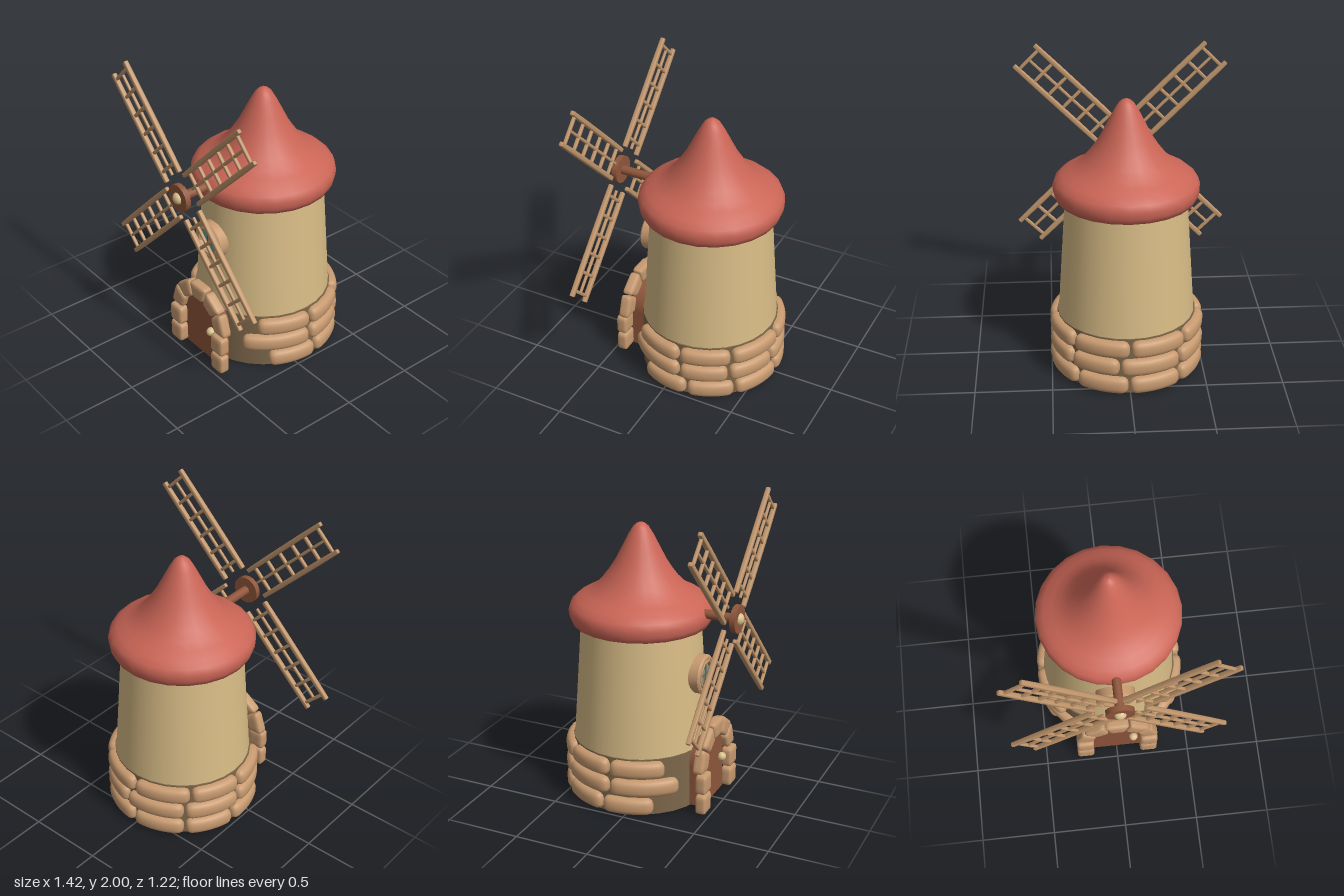
import * as THREE from 'three';
import { mergeVertices, toCreasedNormals } from 'three/addons/utils/BufferGeometryUtils.js';

const paint = (name, color) => {
  const m = new THREE.MeshStandardMaterial({ color });
  m.name = name;
  return m;
};

// Box with rounded edges, optionally reshaped by warp(vector)
function roundedBlock(w, h, d, r, segs = [6, 6, 6], warp = null) {
  let g = new THREE.BoxGeometry(w, h, d, ...segs);
  g.deleteAttribute('normal');
  g.deleteAttribute('uv');
  g = mergeVertices(g, 1e-5);
  const p = g.attributes.position;
  const inner = new THREE.Vector3(w / 2 - r, h / 2 - r, d / 2 - r);
  const low = inner.clone().negate();
  const v = new THREE.Vector3(), c = new THREE.Vector3();
  for (let i = 0; i < p.count; i++) {
    v.fromBufferAttribute(p, i);
    c.copy(v).clamp(low, inner);
    v.sub(c).setLength(r).add(c);
    if (warp) warp(v);
    p.setXYZ(i, v.x, v.y, v.z);
  }
  g.computeVertexNormals();
  return g;
}

const lathe = (pts, sides, crease) => {
  const g = new THREE.LatheGeometry(pts.map(([x, y]) => new THREE.Vector2(x, y)), sides);
  return crease ? toCreasedNormals(g, crease) : g;
};

export function createModel() {
  const wall = paint('cream plaster', 0xd8bc86);
  const stone = paint('tan stone', 0xc79a70);
  const mortar = paint('dark mortar', 0x7b664a);
  const roofRed = paint('roof red', 0xca6556);
  const brown = paint('door brown', 0x8f563b);
  const sailWood = paint('sail wood', 0xbf946a);
  const glass = paint('teal glass', 0x62a098);
  const brass = paint('pale brass', 0xd9c08c);

  const model = new THREE.Group();
  model.name = 'windmill';
  const add = (parent, name, geo, mat, x = 0, y = 0, z = 0) => {
    const m = new THREE.Mesh(geo, mat);
    m.name = name;
    m.position.set(x, y, z);
    parent.add(m);
    return m;
  };
  const group = (name, parent = model, x = 0, y = 0, z = 0) => {
    const g = new THREE.Group();
    g.name = name;
    g.position.set(x, y, z);
    parent.add(g);
    return g;
  };

  // Tower: mortar base, plaster wall, bell-shaped roof
  const tower = group('tower', model, 0, 0, -0.1);
  add(tower, 'base', new THREE.CylinderGeometry(0.455, 0.462, 0.39, 28), mortar, 0, 0.195, 0);
  add(tower, 'wall', new THREE.CylinderGeometry(0.39, 0.447, 0.83, 28), wall, 0, 0.8, 0);
  add(tower, 'roof', lathe([
    [0.36, 1.19], [0.42, 1.18], [0.45, 1.19], [0.465, 1.225], [0.47, 1.27], [0.455, 1.31],
    [0.415, 1.345], [0.36, 1.375], [0.305, 1.41], [0.255, 1.46], [0.21, 1.52], [0.165, 1.59],
    [0.12, 1.68], [0.08, 1.76], [0.05, 1.81], [0.025, 1.832], [0, 1.838],
  ], 24), roofRed);

  // Three courses of curved stones, open at the door (bounds in degrees from the front)
  const courses = [
    [0.062, [55, 97, 136, 179, 222, 263, 305]],
    [0.192, [34, 91, 131, 172, 222, 269, 326]],
    [0.322, [46, 91, 133, 180, 227, 269, 314]],
  ];
  const R = 0.455;
  const stones = group('baseStones', tower);
  for (const [y, bounds] of courses) {
    for (let i = 0; i < bounds.length - 1; i++) {
      const mid = THREE.MathUtils.degToRad((bounds[i] + bounds[i + 1]) / 2);
      const len = THREE.MathUtils.degToRad(bounds[i + 1] - bounds[i]) * R - 0.008;
      const bend = (v) => {
        const a = mid + v.x / R, r = R + v.z;
        v.set(Math.sin(a) * r, v.y, Math.cos(a) * r);
      };
      add(stones, 'baseStone', roundedBlock(len, 0.118, 0.104, 0.045, [16, 6, 6], bend), stone, 0, y, 0);
    }
  }

  // Arched door
  const door = group('door');
  const arch = new THREE.Shape();
  arch.moveTo(-0.168, 0.005);
  arch.lineTo(0.168, 0.005);
  arch.lineTo(0.168, 0.29);
  arch.absarc(0, 0.29, 0.168, 0, Math.PI, false);
  arch.closePath();
  add(door, 'doorPanel', new THREE.ExtrudeGeometry(arch, { depth: 0.2, bevelEnabled: false, curveSegments: 14 }),
    brown, 0, 0, 0.22);
  add(door, 'doorKnob', new THREE.SphereGeometry(0.03, 16, 12), brass, 0.115, 0.25, 0.435);

  // Door surround: two blocks a side and five wedge stones
  const block = roundedBlock(0.118, 0.134, 0.075, 0.02);
  for (const side of [-1, 1]) {
    for (const y of [0.075, 0.219]) add(door, 'doorPost', block, stone, side * 0.222, y, 0.445);
  }
  const wedge = roundedBlock(0.135, 0.112, 0.075, 0.02, [6, 6, 6], (v) => { v.x *= 1 + v.y / 0.22; });
  for (let i = -2; i <= 2; i++) {
    const a = i * Math.PI / 5;
    const w = add(door, 'archStone', wedge, stone, Math.sin(a) * 0.22, 0.29 + Math.cos(a) * 0.22, 0.424);
    w.rotation.z = -a;
  }

  // Round window
  const win = group('window', model, 0, 0.877, 0.31);
  const ring = (r0, r1, z0, z1, b, sides) => lathe([
    [r0, z0], [r1, z0], [r1, z1 - b], [r1 - b, z1], [r0 + b, z1], [r0, z1 - b], [r0, z0],
  ], sides, 0.7).rotateX(Math.PI / 2);
  add(win, 'windowFrame', ring(0.09, 0.13, -0.04, 0.055, 0.012, 24), stone);
  add(win, 'windowRim', ring(0.084, 0.102, -0.03, 0.06, 0.004, 8).rotateZ(Math.PI / 8), sailWood);
  add(win, 'windowGlass', new THREE.SphereGeometry(0.096, 20, 8, 0, Math.PI * 2, 0, Math.PI / 2)
    .rotateX(Math.PI / 2).scale(1, 1, 0.25), glass, 0, 0, 0.02);
  for (const turn of [0, Math.PI / 2]) {
    add(win, 'windowBar', new THREE.BoxGeometry(0.18, 0.01, 0.03), brown, 0, 0, 0.034).rotation.z = turn;
  }

  // Sails: axle, hub and four lattice blades
  const sails = group('sails', model, 0, 1.29, 0);
  const rod = (r, len) => new THREE.CylinderGeometry(r, r, len, 18).rotateX(Math.PI / 2);
  add(sails, 'axle', rod(0.03, 0.4), brown, 0, 0, 0.36);
  add(sails, 'hub', rod(0.092, 0.036), brown, 0, 0, 0.564);
  add(sails, 'hubCap', new THREE.SphereGeometry(0.04, 16, 12).scale(1, 1, 0.8), brass, 0, 0, 0.578);

  const rail = roundedBlock(0.034, 0.765, 0.034, 0.009, [4, 4, 4]);
  const midRail = roundedBlock(0.02, 0.72, 0.02, 0.006, [4, 4, 4]);
  const rung = roundedBlock(0.2, 0.022, 0.022, 0.006, [4, 4, 4]);
  for (let k = 0; k < 4; k++) {
    const blade = group('blade', sails, 0, 0, 0.541);
    blade.rotation.z = Math.PI / 4 + k * Math.PI / 2;
    for (const side of [-1, 1]) add(blade, 'bladeRail', rail, sailWood, side * 0.098, 0.514, 0);
    add(blade, 'bladeMiddleRail', midRail, sailWood, 0, 0.505, 0);
    for (let i = 0; i < 6; i++) add(blade, 'bladeRung', rung, sailWood, 0, 0.2 + i * 0.131, 0);
  }
  return model;
}
